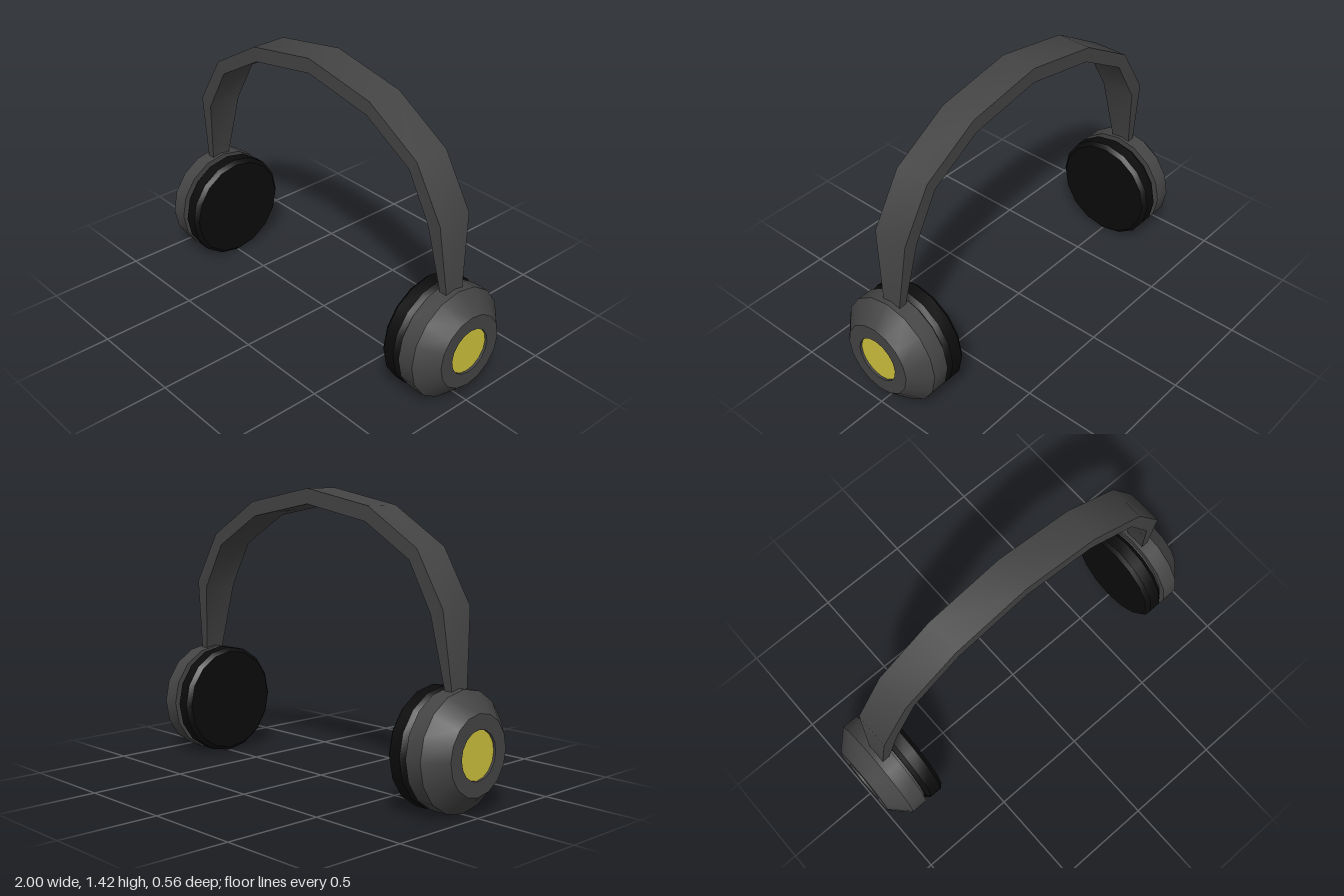
import * as THREE from 'three';
import { toCreasedNormals } from 'three/addons/utils/BufferGeometryUtils.js';

const CUP_Y = 0.283;
const SIDES = 16;
const darkGrey = new THREE.MeshStandardMaterial({ color: 0x444444 });
const black = new THREE.MeshStandardMaterial({ color: 0x0b0b0b });
const yellow = new THREE.MeshStandardMaterial({ color: 0xcdc13c });

// Round part turned about the x axis; profile is [distance from centre, radius]
function turned(name, profile, material, side) {
  const points = profile.map(([d, r]) => new THREE.Vector2(r, d));
  const geometry = new THREE.LatheGeometry(points, SIDES);
  geometry.rotateZ(-side * Math.PI / 2);
  const mesh = new THREE.Mesh(toCreasedNormals(geometry, 0.5), material);
  mesh.name = name;
  return mesh;
}

function createEarpiece(side) {
  const group = new THREE.Group();
  group.name = side > 0 ? 'leftEarpiece' : 'rightEarpiece';
  group.position.y = CUP_Y;
  group.add(
    // Bevelled shell with a narrow neck and a shallow recess in the outer face
    turned('earCup', [
      [0.79, 0.25], [0.825, 0.25], [0.825, 0.282], [0.91, 0.282],
      [1, 0.188], [1, 0.116], [0.988, 0.116],
    ], darkGrey, side),
    turned('earCushion', [
      [0.71, 0], [0.71, 0.262], [0.73, 0.282], [0.79, 0.282], [0.812, 0.262], [0.812, 0],
    ], black, side),
    turned('capDisc', [[0.98, 0.116], [0.988, 0.116], [0.988, 0]], yellow, side),
  );
  return group;
}

// Faceted arch swept through rectangular sections that taper into the cups
function createHeadband() {
  // outer x, outer y, inner x, inner y, half depth
  const half = [
    [0, 1.425, 0, 1.35, 0.092],
    [0.405, 1.352, 0.388, 1.28, 0.092],
    [0.705, 1.175, 0.66, 1.122, 0.092],
    [0.86, 0.92, 0.79, 0.892, 0.092],
    [0.888, 0.5, 0.852, 0.5, 0.046],
  ];
  const mirrored = half.slice(1).reverse().map(([ox, oy, ix, iy, w]) => [-ox, oy, -ix, iy, w]);
  const sections = [...mirrored, ...half];
  const positions = [];
  const index = [];
  sections.forEach(([ox, oy, ix, iy, w], i) => {
    positions.push(ox, oy, w, ox, oy, -w, ix, iy, -w, ix, iy, w);
    if (i === 0) return;
    for (let j = 0; j < 4; j++) {
      const k = (j + 1) % 4;
      const a = (i - 1) * 4 + j, b = (i - 1) * 4 + k;
      const c = i * 4 + k, d = i * 4 + j;
      index.push(a, d, b, b, d, c);
    }
  });
  // End caps
  const e = (sections.length - 1) * 4;
  index.push(0, 1, 2, 0, 2, 3, e, e + 2, e + 1, e, e + 3, e + 2);
  const geometry = new THREE.BufferGeometry();
  geometry.setAttribute('position', new THREE.Float32BufferAttribute(positions, 3));
  geometry.setIndex(index);
  const mesh = new THREE.Mesh(toCreasedNormals(geometry, 0.55), darkGrey);
  mesh.name = 'headband';
  return mesh;
}

export function createModel() {
  const model = new THREE.Group();
  model.name = 'headphones';
  model.add(createHeadband(), createEarpiece(1), createEarpiece(-1));
  return model;
}
